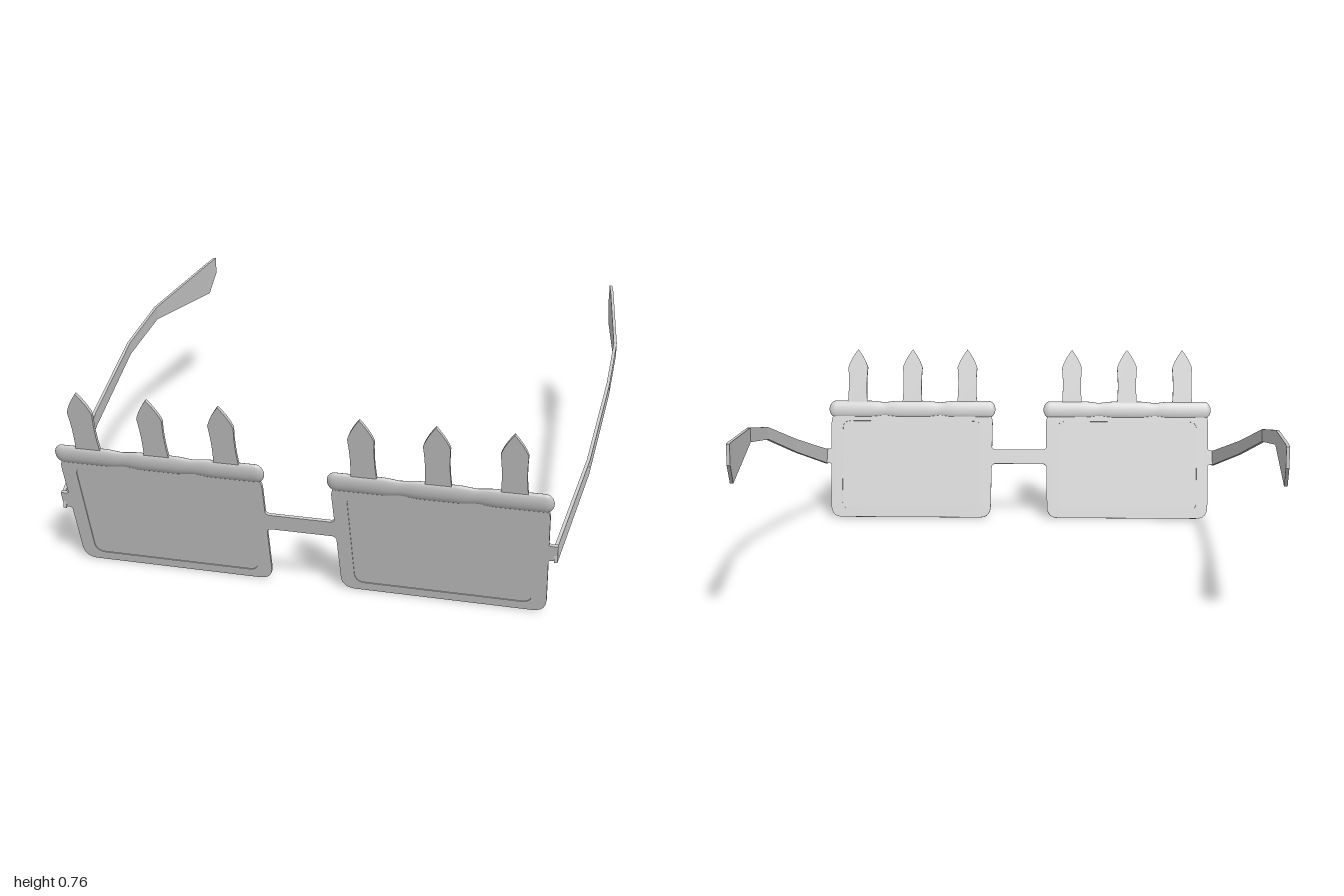
import * as THREE from 'three';

const mat = new THREE.MeshStandardMaterial({ color: 0xcccccc });
const TILT = 0.277;
const T = 0.012; // sheet thickness

function add(parent, name, geo) {
  const mesh = new THREE.Mesh(geo, mat);
  mesh.name = name;
  parent.add(mesh);
  return mesh;
}

// Flat plate centred on its own plane
function plate(shape, depth = T) {
  const geo = new THREE.ExtrudeGeometry(shape, { depth, bevelEnabled: false, curveSegments: 8 });
  return geo.translate(0, 0, -depth / 2);
}

// Rounded panel, slightly narrower at the foot
function panel(target, w0, w1, y0, y1, r) {
  target.moveTo(-w0 + r, y0);
  target.lineTo(w0 - r, y0);
  target.quadraticCurveTo(w0, y0, w0 + 0.003, y0 + r);
  target.lineTo(w1, y1 - r);
  target.quadraticCurveTo(w1, y1, w1 - r, y1);
  target.lineTo(-w1 + r, y1);
  target.quadraticCurveTo(-w1, y1, -w1, y1 - r);
  target.lineTo(-w0 - 0.003, y0 + r);
  target.quadraticCurveTo(-w0, y0, -w0 + r, y0);
  return target;
}

function candleShape() {
  const s = new THREE.Shape();
  s.moveTo(-0.049, 0.51);
  s.lineTo(0.049, 0.51);
  s.quadraticCurveTo(0.037, 0.6, 0.046, 0.7);
  s.quadraticCurveTo(0.034, 0.74, 0, 0.785);
  s.quadraticCurveTo(-0.034, 0.74, -0.046, 0.7);
  s.quadraticCurveTo(-0.037, 0.6, -0.049, 0.51);
  return s;
}

// Puffy roll with three swellings, flattened front to back
function rollGeometry() {
  const half = 0.388, end = 0.03, pts = [];
  const n = 72;
  for (let i = 0; i <= n; i++) {
    const x = -half * Math.cos((i / n) * Math.PI);
    const swell = Math.abs(Math.cos(((x / half) * 1.5) * Math.PI));
    const d = Math.min(1, (half - Math.abs(x)) / end);
    const cap = Math.sqrt(Math.max(0, 1 - (1 - d) ** 2));
    const valley = Math.abs(x) < 0.26 ? 0.007 * (1 - Math.min(1, swell * 1.6)) : 0;
    pts.push(new THREE.Vector2(Math.max(0, (0.039 - valley) * cap), x));
  }
  return new THREE.LatheGeometry(pts, 20).rotateZ(-Math.PI / 2).scale(1, 1, 0.38);
}

// Straight bar that flares where it meets a panel
function barShape(x0, x1, flare0, flare1) {
  const lo = 0.25, hi = 0.317, f = 0.018, s = new THREE.Shape();
  s.moveTo(x0, lo - flare0);
  s.quadraticCurveTo(x0 + f / 3, lo, x0 + f, lo);
  s.lineTo(x1 - f, lo);
  s.quadraticCurveTo(x1 - f / 3, lo, x1, lo - flare1);
  s.lineTo(x1, hi + flare1);
  s.quadraticCurveTo(x1 - f / 3, hi, x1 - f, hi);
  s.lineTo(x0 + f, hi);
  s.quadraticCurveTo(x0 + f / 3, hi, x0, hi + flare0);
  return s;
}

// Temple arm lofted through stations: [z, distance from centre, bottom, top]
function armGeometry(side) {
  const stations = [
    [0.848, 0.898, 0.238, 0.305], [0.4, 0.96, 0.374, 0.432], [-0.05, 0.99, 0.51, 0.56],
    [-0.37, 0.992, 0.556, 0.611], [-0.91, 0.939, 0.51, 0.654], [-0.988, 0.929, 0.587, 0.66],
  ];
  const t = 0.006, pos = [], idx = [];
  stations.forEach(([z, x, lo, hi], i) => {
    const c = side * x;
    pos.push(c - t, lo, z, c + t, lo, z, c + t, hi, z, c - t, hi, z);
    if (i === 0) return;
    for (let k = 0; k < 4; k++) {
      const a = (i - 1) * 4 + k, b = (i - 1) * 4 + ((k + 1) % 4);
      idx.push(a, a + 4, b, b, a + 4, b + 4);
    }
  });
  const e = (stations.length - 1) * 4;
  idx.push(0, 1, 2, 0, 2, 3, e, e + 2, e + 1, e, e + 3, e + 2);
  const geo = new THREE.BufferGeometry();
  geo.setAttribute('position', new THREE.Float32BufferAttribute(pos, 3));
  geo.setIndex(idx);
  const flat = geo.toNonIndexed();
  flat.computeVertexNormals();
  return flat;
}

export function createModel() {
  const model = new THREE.Group();
  model.name = 'glasses';

  // Front, leaning forward at the top
  const front = new THREE.Group();
  front.name = 'front';
  front.position.set(0, 0.002, 0.767);
  front.rotation.x = TILT;
  model.add(front);

  for (const side of [1, -1]) {
    const label = side > 0 ? 'left' : 'right';
    const half = new THREE.Group();
    half.name = label + 'Eyepiece';
    half.position.x = side * 0.5;
    front.add(half);

    // Rim with a recessed lens
    const rim = panel(new THREE.Shape(), 0.367, 0.376, 0, 0.49, 0.05);
    rim.holes.push(panel(new THREE.Path(), 0.316, 0.322, 0.036, 0.448, 0.035));
    add(half, 'rim', plate(rim));
    add(half, 'lens', plate(panel(new THREE.Shape(), 0.32, 0.326, 0.032, 0.452, 0.035), 0.006));

    // Roll and the three candles above it
    add(half, 'icing', rollGeometry()).position.y = 0.504;
    for (const x of [-0.256, 0, 0.256]) add(half, 'candle', plate(candleShape())).position.x = x;

    // Hinge tab and temple arm
    const tab = side > 0 ? barShape(0.868, 0.905, 0.012, 0) : barShape(-0.905, -0.868, 0, 0.012);
    add(front, label + 'HingeTab', plate(tab));
    add(model, label + 'Arm', armGeometry(side));
  }

  add(front, 'bridge', plate(barShape(-0.128, 0.128, 0.015, 0.015)));
  return model;
}
